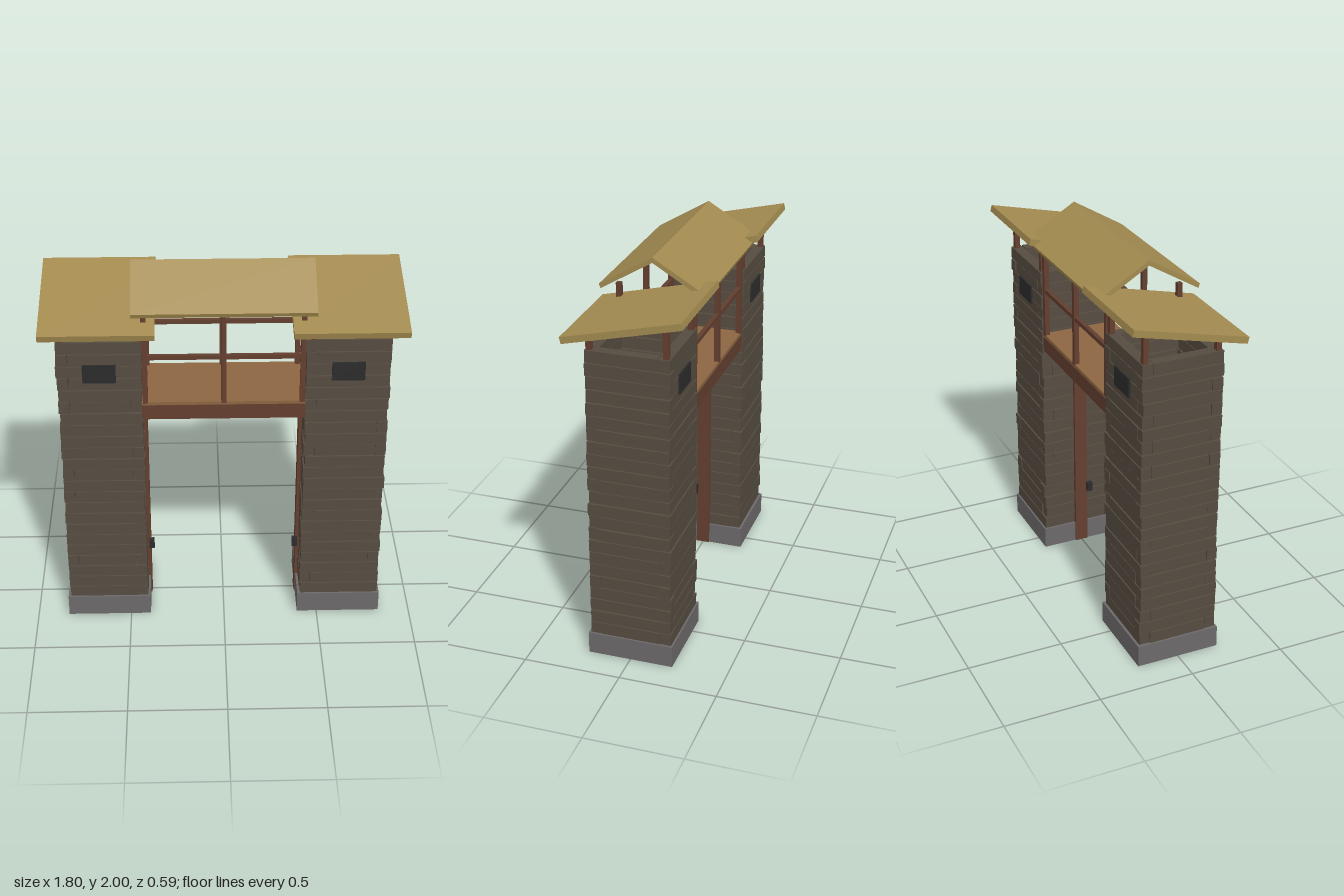
import * as THREE from 'three';

const mat = (name, color) => {
  const m = new THREE.MeshStandardMaterial({ color });
  m.name = name;
  return m;
};

export function createModel() {
  const log = mat('weatheredLog', 0x564c41);
  const stone = mat('stone', 0x6c696a);
  const thatch = mat('thatch', 0xa38b50);
  const wood = mat('darkWood', 0x633f2f);
  const plank = mat('deckPlank', 0x8d6642);
  const iron = mat('iron', 0x2c2c2c);

  const box = (parent, name, material, size, pos, tilt = 0) => {
    const m = new THREE.Mesh(new THREE.BoxGeometry(...size), material);
    m.name = name;
    m.position.set(...pos);
    m.rotation.x = tilt;
    parent.add(m);
    return m;
  };

  // Small seeded jitter in [-1, 1]
  let seed = 7;
  const jitter = () => {
    seed = (seed * 16807) % 2147483647;
    return (seed / 2147483647) * 2 - 1;
  };

  const model = new THREE.Group();
  model.name = 'gate';

  const COURSES = 23, BASE = 0.115, PITCH = 0.0672, LOG_H = 0.062, THICK = 0.055, HALF = 0.208;

  for (const side of [-1, 1]) {
    const tower = new THREE.Group();
    tower.name = side > 0 ? 'leftTower' : 'rightTower';
    tower.position.x = side * 0.615;
    model.add(tower);

    box(tower, 'stoneFooting', stone, [0.44, BASE, 0.44], [0, BASE / 2, 0]);

    // Hollow log walls; the courses lap alternately at the corners
    for (let i = 0; i < COURSES; i++) {
      const y = BASE + LOG_H / 2 + i * PITCH;
      const long = HALF * 2, short = (HALF - THICK) * 2;
      const xLen = i % 2 ? short : long, zLen = i % 2 ? long : short;
      for (const s of [-1, 1]) {
        const off = () => s * (HALF - THICK / 2 + jitter() * 0.003);
        box(tower, 'wallLog', log, [xLen + jitter() * 0.008, LOG_H, THICK], [jitter() * 0.003, y, off()]);
        box(tower, 'sideLog', log, [THICK, LOG_H, zLen + jitter() * 0.008], [off(), y, jitter() * 0.003]);
      }
    }

    // Dark plates on the front and back
    for (const s of [-1, 1]) {
      box(tower, 'wallPlate', iron, [0.165, 0.1, 0.009], [0, 1.485, s * 0.214]);
    }

    // Lean-to roof, low at the front, on four short posts
    const tilt = 0.235;
    box(tower, 'towerRoof', thatch, [0.565, 0.034, 0.6], [side * 0.003, 1.792, 0], tilt);
    for (const x of [-0.18, 0.187]) {
      for (const z of [-0.188, 0.188]) {
        const top = 1.785 - z * Math.tan(tilt);
        box(tower, 'roofPost', wood, [0.027, top - 1.58, 0.027], [side * x, (top + 1.58) / 2, z]);
      }
    }

    // Door jamb and its latch on the inner wall
    box(model, 'doorJamb', wood, [0.022, 1.3, 0.07], [side * 0.4, 0.65, 0]);
    box(model, 'latch', iron, [0.028, 0.05, 0.03], [side * 0.384, 0.34, 0.045]);
  }

  // Bridge between the towers
  const bridge = new THREE.Group();
  bridge.name = 'bridge';
  model.add(bridge);
  box(bridge, 'deck', plank, [0.82, 0.018, 0.4], [0, 1.303, 0]);
  for (const s of [-1, 1]) {
    box(bridge, 'deckBeam', wood, [0.82, 0.08, 0.03], [0, 1.255, s * 0.187]);
    box(bridge, 'handRail', wood, [0.8, 0.022, 0.022], [0, 1.562, s * 0.188]);
    for (const x of [-0.391, 0, 0.391]) {
      box(bridge, 'railPost', wood, [0.026, 0.53, 0.026], [x, 1.57, s * 0.188]);
    }
  }

  // Gable roof over the bridge: a chevron profile extruded along x
  const gable = new THREE.Shape();
  [[0, 2], [0.27, 1.838], [0.262, 1.816], [0, 1.973], [-0.262, 1.816], [-0.27, 1.838]]
    .forEach(([z, y], i) => (i ? gable.lineTo(z, y) : gable.moveTo(z, y)));
  const roofGeo = new THREE.ExtrudeGeometry(gable, { depth: 0.9, bevelEnabled: false });
  roofGeo.translate(0, 0, -0.45);
  roofGeo.rotateY(Math.PI / 2);
  const roof = new THREE.Mesh(roofGeo, thatch);
  roof.name = 'bridgeRoof';
  model.add(roof);

  return model;
}
